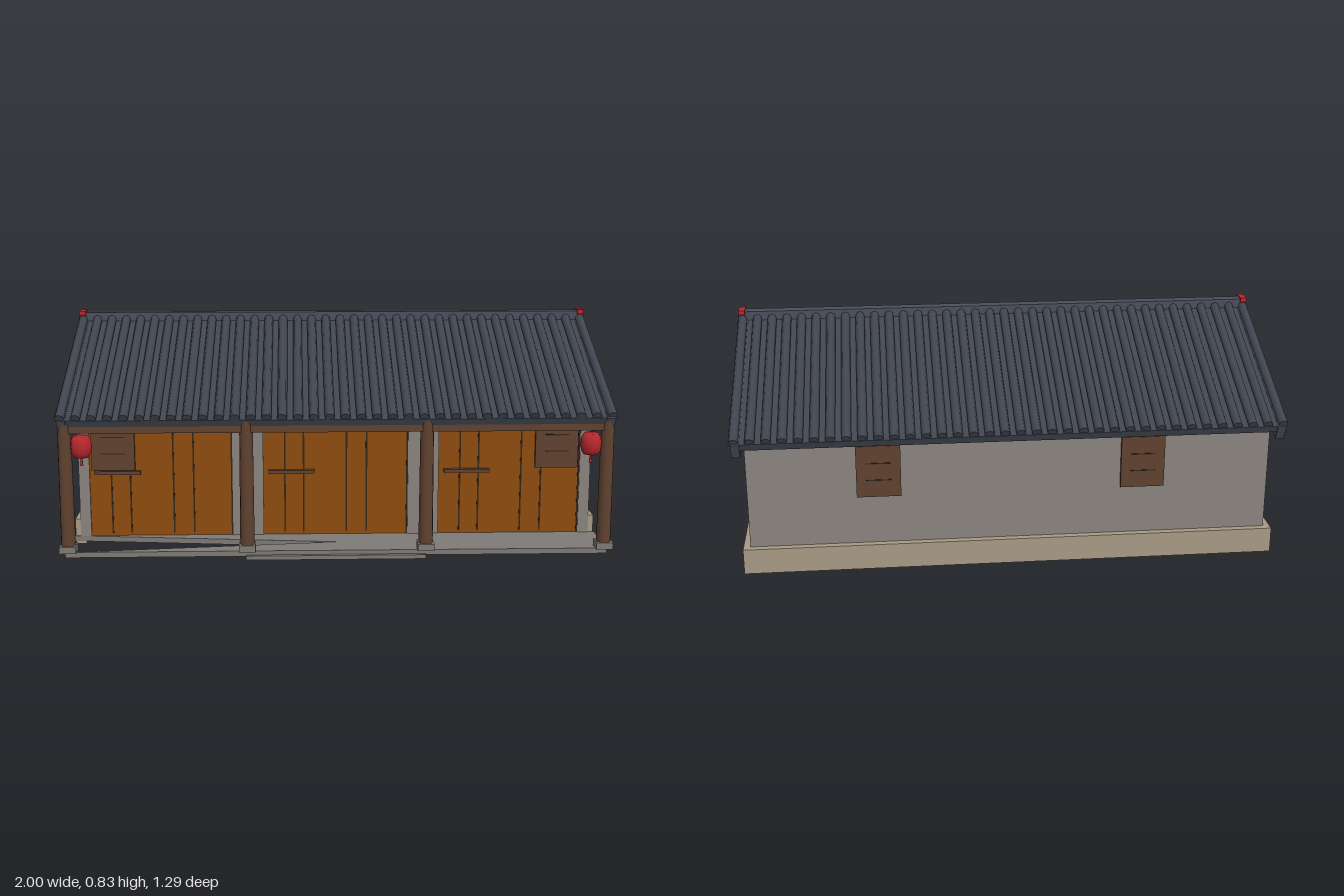
import * as THREE from 'three';

const mat = (name, color) => {
  const m = new THREE.MeshStandardMaterial({ color });
  m.name = name;
  return m;
};

export function createModel() {
  const root = new THREE.Group();
  root.name = 'farmhouse';
  const tile = mat('roof tile slate', 0x40454f);
  const barge = mat('barge slate', 0x4b505c);
  const wall = mat('wall grey', 0x8a847f);
  const plinthMat = mat('plinth sandstone', 0xa89a84);
  const gableMat = mat('gable plaster', 0xd0cec6);
  const doorMat = mat('door orange brown', 0x8f4c0e);
  const wood = mat('timber brown', 0x604230);
  const stone = mat('porch stone', 0x7f7b77);
  const red = mat('lantern red', 0xb8282c);
  const dark = mat('dark brown', 0x33261b);
  gableMat.side = dark.side = THREE.DoubleSide;

  const add = (name, geo, material, parent = root) => {
    const m = new THREE.Mesh(geo, material);
    m.name = name;
    parent.add(m);
    return m;
  };
  // Box given by its minimum and maximum on each axis
  const box = (name, material, x0, x1, y0, y1, z0, z1) => {
    const g = new THREE.BoxGeometry(x1 - x0, y1 - y0, z1 - z0);
    g.translate((x0 + x1) / 2, (y0 + y1) / 2, (z0 + z1) / 2);
    return add(name, g, material);
  };
  // Outline in (z, y) swept along x
  const sweepX = (name, material, pts, x0, x1) => {
    const s = new THREE.Shape(pts.map(([z, y]) => new THREE.Vector2(-z, y)));
    const g = new THREE.ExtrudeGeometry(s, { depth: x1 - x0, bevelEnabled: false });
    g.rotateY(Math.PI / 2).translate(x0, 0, 0);
    return add(name, g, material);
  };
  // Slab whose left-hand triangle is cut away up to its centre
  const notchedSlab = (name, material, w, z0, z1, y0, y1) => {
    const pts = [[-w, z0], [w, z0], [w, z1], [-w, z1], [0, (z0 + z1) / 2]];
    const s = new THREE.Shape(pts.map(([x, z]) => new THREE.Vector2(x, -z)));
    const g = new THREE.ExtrudeGeometry(s, { depth: y1 - y0, bevelEnabled: false });
    g.rotateX(-Math.PI / 2).translate(0, y0, 0);
    return add(name, g, material);
  };

  // Floors and step
  notchedSlab('houseFloor', dark, 0.94, -0.575, 0.40, 0.012, 0.016);
  notchedSlab('porchFloor', stone, 0.98, 0.41, 0.62, 0.01, 0.03);
  box('porchStep', stone, -0.33, 0.32, 0, 0.015, 0.59, 0.635);

  // Plinth and walls, hollow inside
  box('backPlinth', plinthMat, -0.975, 0.975, 0, 0.095, -0.6, -0.56);
  box('backWall', wall, -0.95, 0.95, 0.09, 0.53, -0.575, -0.55);
  for (const s of [-1, 1]) {
    const span = (a, b) => (s > 0 ? [a, b] : [-b, -a]);
    box('sidePlinth', plinthMat, ...span(0.935, 0.975), 0, 0.095, -0.6, 0.41);
    box('sideWall', wall, ...span(0.925, 0.95), 0.09, 0.52, -0.575, 0.375);
    box('cornerPier', wall, ...span(0.915, 0.955), 0.03, 0.52, 0.375, 0.415);
    box('innerPier', wall, ...span(0.27, 0.385), 0.02, 0.48, 0.385, 0.415);
    sweepX('gable', gableMat, [[-0.5, 0.52], [0.5, 0.52], [0, 0.755]], ...span(0.938, 0.949));
  }
  box('doorHead', wood, -0.93, 0.93, 0.465, 0.52, 0.385, 0.415);

  // Door bays with plank joints and a bolt
  for (const [a, b] of [[-0.915, -0.385], [-0.27, 0.27], [0.385, 0.915]]) {
    box('doors', doorMat, a, b, 0.02, 0.47, 0.39, 0.408);
    for (const d of [0.08, 0.15, 0.31, 0.385]) {
      box('plankJoint', dark, a + d - 0.003, a + d + 0.003, 0.04, 0.455, 0.407, 0.41);
    }
    box('doorEdge', dark, b - 0.006, b, 0.03, 0.465, 0.407, 0.41);
    box('doorBolt', wood, a + 0.02, a + 0.19, 0.267, 0.28, 0.405, 0.425);
  }

  // Shutters, two in front and two at the back
  const shutter = (x, y0, y1, z, dir) => {
    const zs = (p, q) => (dir > 0 ? [z + p, z + q] : [z - q, z - p]);
    box('shutter', wood, x - 0.08, x + 0.08, y0, y1, ...zs(0, 0.014));
    for (const f of [0.33, 0.66]) {
      const y = y0 + (y1 - y0) * f;
      box('shutterSlat', dark, x - 0.045, x + 0.045, y - 0.002, y + 0.002, ...zs(0.012, 0.016));
    }
  };
  for (const s of [-1, 1]) {
    shutter(s * 0.825, 0.285, 0.475, 0.412, 1);
    shutter(s * 0.48, 0.28, 0.475, -0.575, -1);
  }

  // Porch posts on stone feet, with the eave beam
  for (const x of [-0.968, -0.325, 0.32, 0.968]) {
    const post = new THREE.CylinderGeometry(0.024, 0.026, 0.455, 12);
    post.translate(x, 0.2825, 0.61);
    add('porchPost', post, wood);
    box('postFoot', stone, x - 0.03, x + 0.03, 0.03, 0.055, 0.58, 0.64);
  }
  box('eaveBeam', wood, -0.985, 0.985, 0.468, 0.505, 0.592, 0.626);

  // Lanterns
  const lanternProfile = [[0, 0.378], [0.026, 0.38], [0.036, 0.395], [0.038, 0.418],
    [0.036, 0.44], [0.026, 0.457], [0, 0.459]].map(([r, y]) => new THREE.Vector2(r, y));
  for (const s of [-1, 1]) {
    const body = new THREE.LatheGeometry(lanternProfile, 12);
    body.translate(s * 0.91, 0, 0.61);
    add('lantern', body, red);
    const tassel = new THREE.CylinderGeometry(0.003, 0.006, 0.03, 6);
    tassel.translate(s * 0.91, 0.364, 0.61);
    add('lanternTassel', tassel, red);
  }

  // Roof deck and barge boards
  const slope = 0.445;
  const angle = Math.atan(slope);
  const chevron = (top, t, w, cut) => [[0, top], [-w, top - slope * w], [-w + cut, top - t - slope * (w - cut)],
    [0, top - t], [w - cut, top - t - slope * (w - cut)], [w, top - slope * w]];
  sweepX('roofDeck', tile, chevron(0.798, 0.03, 0.635, 0.01), -0.985, 0.985);
  for (const x of [-0.99, 0.96]) {
    sweepX('bargeBoard', barge, chevron(0.8, 0.067, 0.64, 0.025), x, x + 0.03);
  }

  // Rounded cover tiles running down both slopes
  const ribs = 36;
  const ribLength = 0.635 / Math.cos(angle);
  const ribGeo = new THREE.CylinderGeometry(0.0175, 0.0175, ribLength, 8);
  ribGeo.rotateX(Math.PI / 2).translate(0, 0, ribLength / 2).rotateX(angle);
  for (const turn of [0, Math.PI]) {
    const side = new THREE.Group();
    side.name = turn ? 'backTiles' : 'frontTiles';
    side.rotation.y = turn;
    root.add(side);
    for (let i = 0; i < ribs; i++) {
      const rib = add('coverTile', ribGeo, tile, side);
      rib.position.set(-0.98 + (1.96 * i) / (ribs - 1), 0.804, 0);
    }
  }

  // Ridge with flared red end caps
  box('ridge', barge, -0.98, 0.98, 0.79, 0.824, -0.022, 0.022);
  for (const s of [-1, 1]) {
    sweepX('ridgeEnd', red, [[-0.03, 0.83], [-0.03, 0.817], [-0.01, 0.785], [0.01, 0.785], [0.03, 0.817], [0.03, 0.83]],
      s * 0.982 - 0.012, s * 0.982 + 0.012);
  }
  return root;
}
